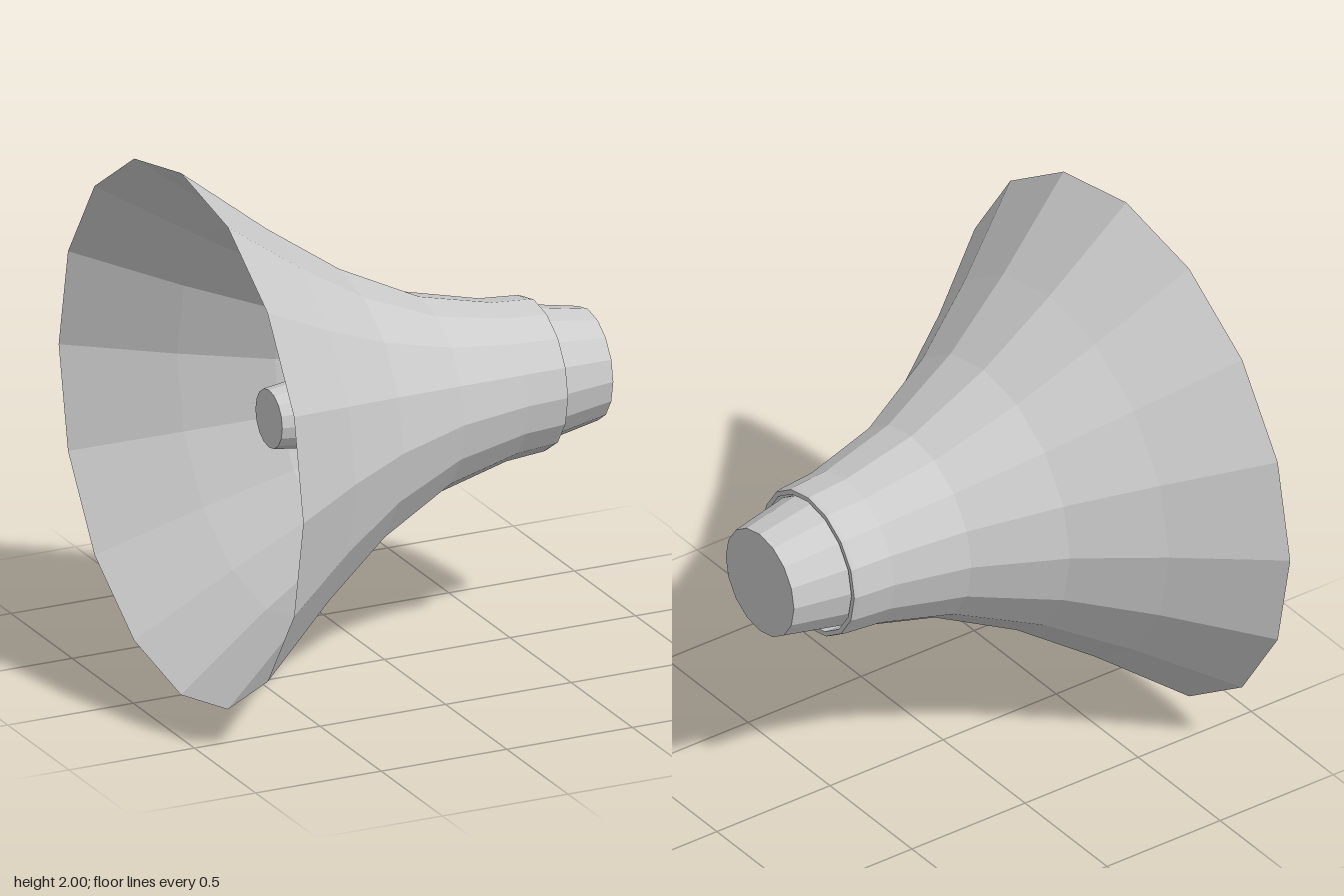
import * as THREE from 'three';

const material = new THREE.MeshStandardMaterial({
  color: 0xcccccc, flatShading: true, side: THREE.DoubleSide,
});

// Turns a profile of [x along axis, radius] around a horizontal axis at y = 1
function turned(name, profile) {
  const points = profile.map(([x, r]) => new THREE.Vector2(r, x));
  const geometry = new THREE.LatheGeometry(points, 16);
  geometry.rotateZ(-Math.PI / 2);
  const mesh = new THREE.Mesh(geometry, material);
  mesh.name = name;
  mesh.position.y = 1;
  return mesh;
}

export function createModel() {
  const group = new THREE.Group();
  group.name = 'horn';

  // Flared bell with a thin lip turned in at the narrow end
  group.add(turned('bell', [
    [-0.81, 1], [-0.47, 0.73], [-0.18, 0.527], [0.14, 0.367],
    [0.43, 0.296], [0.58, 0.284], [0.595, 0.28], [0.595, 0.262], [0.5, 0.262],
  ]));

  // Closed core: tapers forward into the bell and back out of the narrow end
  group.add(turned('core', [
    [-0.46, 0], [-0.46, 0.11], [0.58, 0.252], [0.81, 0.208], [0.81, 0],
  ]));

  return group;
}
